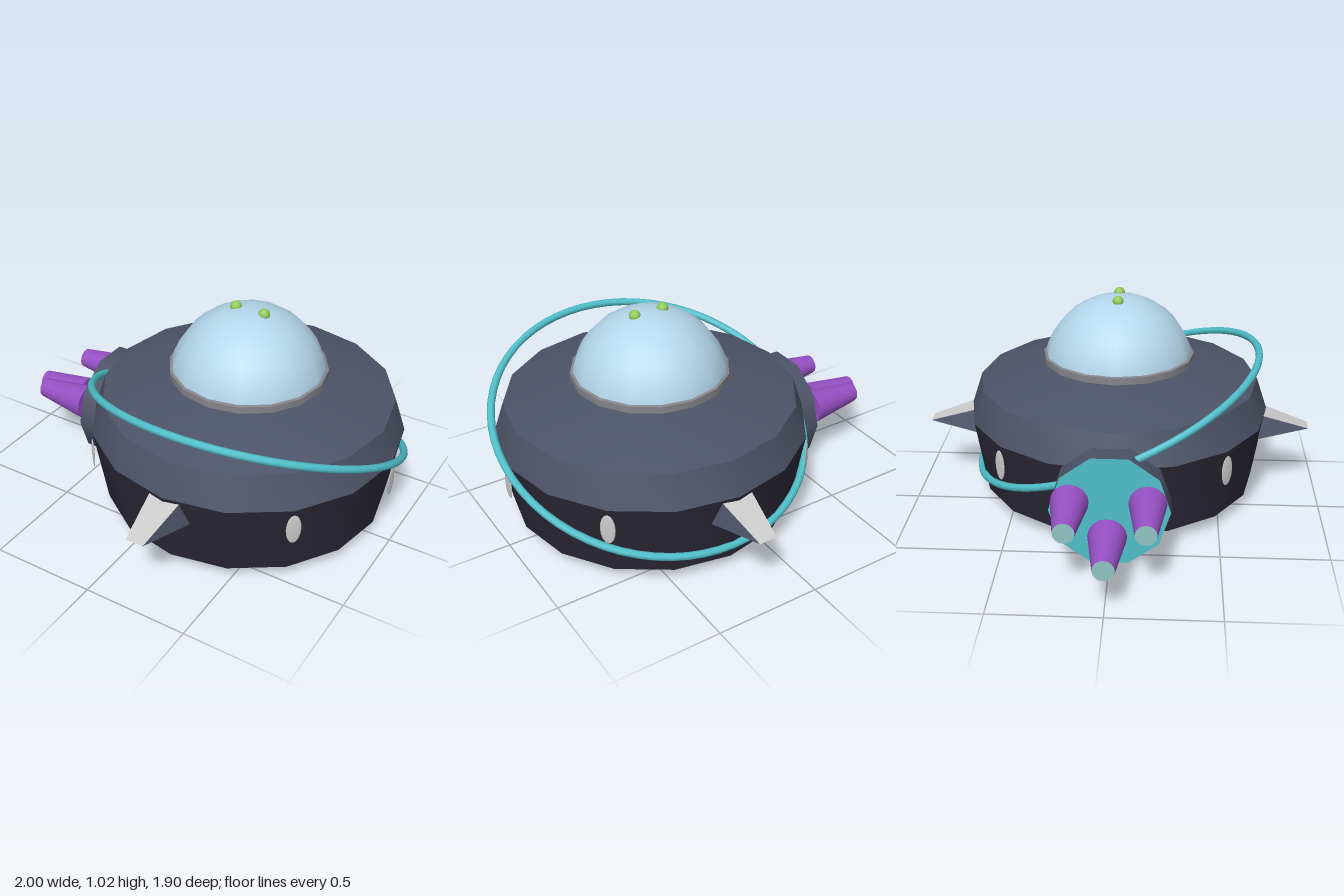
import * as THREE from 'three';
import { toCreasedNormals } from 'three/addons/utils/BufferGeometryUtils.js';

const mat = (color, opts = {}) => new THREE.MeshStandardMaterial({ color, ...opts });

export function createModel() {
  const model = new THREE.Group();
  model.name = 'flyingSaucer';
  const slate = mat(0x4d5367), dark = mat(0x2a2735), teal = mat(0x4fbfca);
  const purple = mat(0x9650c4), grey = mat(0xcccccc), green = mat(0x92cc58);

  const add = (parent, name, geometry, material, x = 0, y = 0, z = 0) => {
    const mesh = new THREE.Mesh(geometry, material);
    mesh.name = name;
    mesh.position.set(x, y, z);
    parent.add(mesh);
    return mesh;
  };
  // 16-sided turned part, profile from bottom to top as [radius, height]
  const turned = (points) => toCreasedNormals(
    new THREE.LatheGeometry(points.map(([r, y]) => new THREE.Vector2(r, y)), 16), 0.6);

  // Everything round is centred on the saucer axis
  const saucer = new THREE.Group();
  saucer.name = 'saucer';
  saucer.position.x = 0.23;
  model.add(saucer);

  add(saucer, 'lowerHull', turned([[0, 0.012], [0.3, 0.015], [0.5, 0.03], [0.68, 0.07], [0.738, 0.43]]), dark);
  add(saucer, 'upperHull', turned([[0.738, 0.43], [0.685, 0.587], [0.37, 0.685], [0, 0.69]]), slate);
  add(saucer, 'domeCollar', turned([[0.37, 0.68], [0.37, 0.718], [0.355, 0.722]]), mat(0x85858a));

  // Glass dome: upper part of a sphere
  add(saucer, 'dome', new THREE.SphereGeometry(0.37, 16, 8, 0, Math.PI * 2, 0, 1.4), mat(0xb4d6ec), 0, 0.632, 0);
  for (const side of [-1, 1]) {
    add(saucer, 'domeLight', new THREE.SphereGeometry(0.027, 12, 8), green, side * 0.072, 0.995, 0);
  }

  // Tilted ring, high at the front and low at the back
  const ring = add(saucer, 'tiltedRing', new THREE.TorusGeometry(0.752, 0.018, 8, 64), teal, 0, 0.437, -0.005);
  ring.rotation.x = Math.atan2(0.7, 0.297);

  // Oval portholes around the hull
  const portholeGeo = new THREE.SphereGeometry(1, 12, 8);
  for (let i = 0; i < 8; i++) {
    const a = (i * Math.PI) / 4;
    const porthole = add(saucer, 'porthole', portholeGeo, grey, Math.sin(a) * 0.743, 0.337, Math.cos(a) * 0.743);
    porthole.scale.set(0.035, 0.075, 0.005);
    porthole.rotation.y = a;
  }

  // Wedge fins: a pale top panel over a dark body
  const base = [[-0.08, 0.425, 0.69], [0.08, 0.425, 0.69], [0.115, 0.305, 0.69], [-0.115, 0.305, 0.69]];
  const tip = [[-0.043, 0.338, 0.95], [0.043, 0.338, 0.95]];
  const fromTriangles = (...tris) => {
    const g = new THREE.BufferGeometry();
    g.setAttribute('position', new THREE.Float32BufferAttribute(tris.flat(2), 3));
    g.computeVertexNormals();
    return g;
  };
  const [tl, tr, br, bl] = base, [pl, pr] = tip;
  const topPanel = fromTriangles([tl, pl, pr], [tl, pr, tr]);
  const finBody = fromTriangles(
    [tr, pr, br], [tl, bl, pl],
    [bl, br, pr], [bl, pr, pl],
    [tl, tr, br], [tl, br, bl]);
  for (const [name, turn] of [['frontFin', 0], ['backFin', Math.PI]]) {
    const fin = new THREE.Group();
    fin.name = name;
    fin.rotation.y = turn;
    saucer.add(fin);
    add(fin, 'finTop', topPanel, grey);
    add(fin, 'finBody', finBody, slate);
  }

  // Engine housing with a teal end plate facing -x
  const housing = add(model, 'engineHousing', new THREE.CylinderGeometry(0.273, 0.273, 0.195, 10),
    [slate, teal, slate], -0.4725, 0.26, 0);
  housing.rotation.z = Math.PI / 2;

  // Three tapered thrusters
  const thrusterGeo = new THREE.CylinderGeometry(0.048, 0.086, 0.272, 16);
  const nozzle = mat(0x8fc4c4);
  for (const [x, y, z] of [[-0.728, 0.316, -0.175], [-0.728, 0.316, 0.17], [-0.864, 0.227, 0]]) {
    const thruster = add(model, 'thruster', thrusterGeo, [purple, nozzle, purple], x, y, z);
    thruster.rotation.z = Math.PI / 2;
  }
  return model;
}
